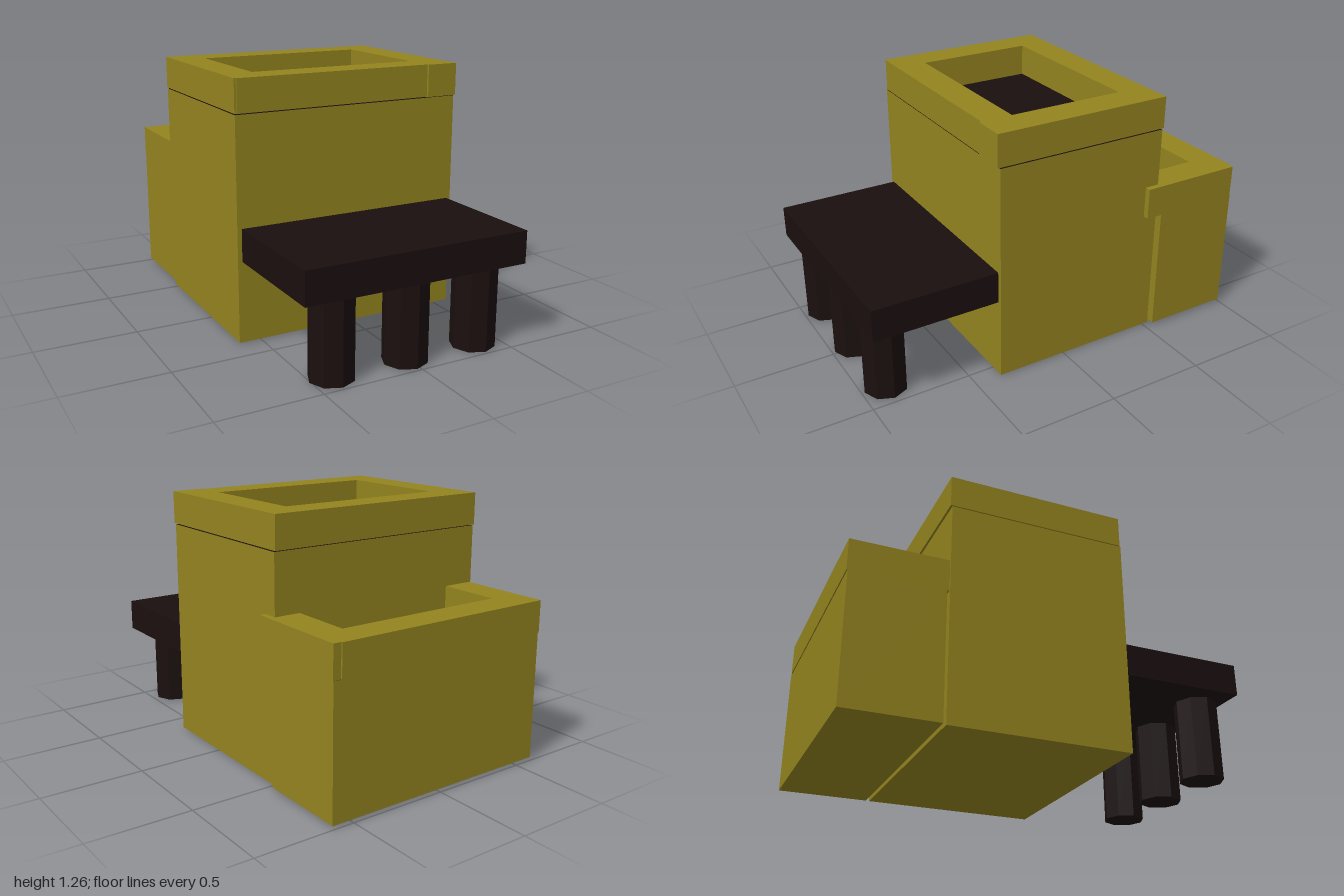
import * as THREE from 'three';

const wall = new THREE.MeshStandardMaterial({ color: 0x93831f, flatShading: true });
const dark = new THREE.MeshStandardMaterial({ color: 0x1b0f0f, flatShading: true });

// Box given by its extents on each axis
function block(name, [x0, x1], [y0, y1], [z0, z1], material) {
  const mesh = new THREE.Mesh(new THREE.BoxGeometry(x1 - x0, y1 - y0, z1 - z0), material);
  mesh.position.set((x0 + x1) / 2, (y0 + y1) / 2, (z0 + z1) / 2);
  mesh.name = name;
  return mesh;
}

function group(name, ...parts) {
  const g = new THREE.Group();
  g.name = name;
  g.add(...parts);
  return g;
}

export function createModel() {
  // Walls with a dark flat roof on the top face
  const roofed = [wall, wall, dark, wall, wall, wall];

  // Main building with a four-sided parapet
  const py = [1.105, 1.265];
  const main = group('mainBuilding',
    block('mainWalls', [-0.612, 0.58], [0.005, 1.1], [-0.53, 0.366], roofed),
    block('parapetLeft', [0.417, 0.58], py, [-0.538, 0.38], wall),
    block('parapetRight', [-0.612, -0.455], py, [-0.538, 0.362], wall),
    block('parapetFront', [-0.602, 0.417], py, [0.21, 0.368], wall),
    block('parapetBack', [-0.455, 0.417], py, [-0.538, -0.382], wall));

  // Lower rear annex, parapet on three sides
  const ay = [0.652, 0.81];
  const annex = group('rearAnnex',
    block('annexWalls', [-0.602, 0.61], [0.015, 0.652], [-0.995, -0.54], roofed),
    block('annexParapetLeft', [0.448, 0.61], ay, [-0.993, -0.455], wall),
    block('annexParapetRight', [-0.602, -0.442], ay, [-0.842, -0.53], wall),
    block('annexParapetBack', [-0.602, 0.57], ay, [-1, -0.842], wall));

  // Porch roof carried by three octagonal posts
  const porch = group('porch', block('porchRoof', [-0.59, 0.557], [0.407, 0.567], [0.36, 1], dark));
  for (const x of [-0.4, -0.018, 0.363]) {
    const post = new THREE.Mesh(new THREE.CylinderGeometry(0.108, 0.108, 0.41, 8), dark);
    post.position.set(x, 0.205, 0.877);
    post.name = 'porchPost';
    porch.add(post);
  }

  return group('building', main, annex, porch);
}
